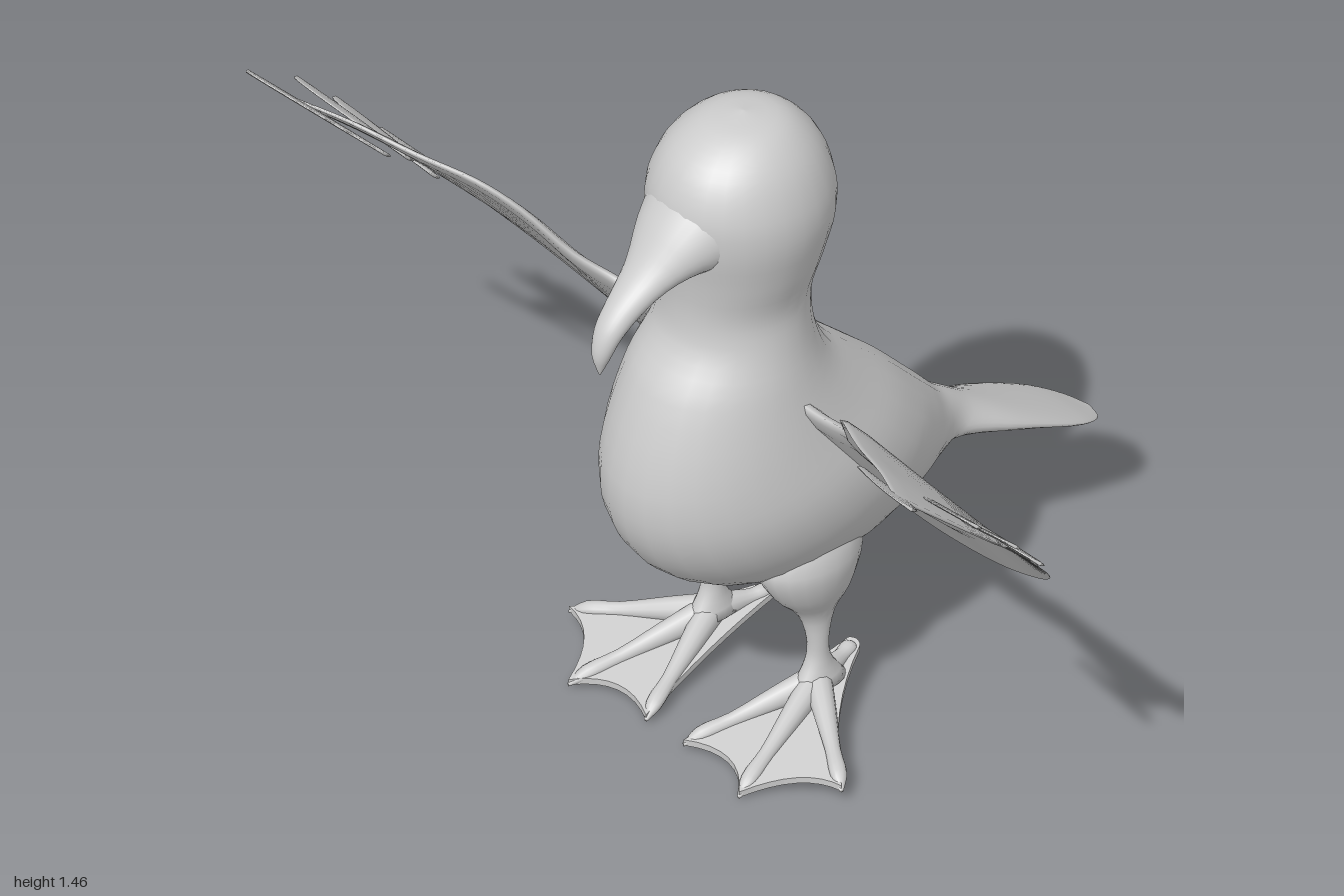
import * as THREE from 'three';

const V = (x, y, z) => new THREE.Vector3(x, y, z);
const plumage = new THREE.MeshStandardMaterial({ color: 0xcccccc });
plumage.name = 'paleGrey';

// Smooth closed skin through rings of points, capped at both ends
function loft(rings, steps = 3) {
  const n = rings[0].length, rows = (rings.length - 1) * steps + 1;
  const curves = rings[0].map((_, j) => new THREE.CatmullRomCurve3(rings.map(r => r[j])));
  const pts = [], idx = [];
  for (let i = 0; i < rows; i++) curves.forEach(c => pts.push(c.getPoint(i / (rows - 1))));
  for (let i = 0; i < rows - 1; i++) {
    for (let j = 0; j < n; j++) {
      const k = (j + 1) % n, a = i * n + j, b = i * n + k;
      idx.push(a, b, a + n, b, b + n, a + n);
    }
  }
  for (const row of [0, rows - 1]) {
    const mid = V(0, 0, 0);
    for (let j = 0; j < n; j++) mid.addScaledVector(pts[row * n + j], 1 / n);
    const m = pts.push(mid) - 1;
    for (let j = 0; j < n; j++) {
      const a = row * n + j, b = row * n + (j + 1) % n;
      row ? idx.push(a, b, m) : idx.push(b, a, m);
    }
  }
  // Turn every face outward, using the sign of the volume
  let vol = 0;
  for (let i = 0; i < idx.length; i += 3) {
    vol += pts[idx[i]].dot(pts[idx[i + 1]].clone().cross(pts[idx[i + 2]]));
  }
  if (vol < 0) idx.reverse();
  const g = new THREE.BufferGeometry().setFromPoints(pts);
  g.setIndex(idx);
  g.computeVertexNormals();
  return g;
}

// Oval ring between two [z, y] profile points, with half width w about x = cx
function oval([z1, y1], [z2, y2], w, cx = 0, n = 28) {
  return Array.from({ length: n }, (_, j) => {
    const a = j / n * Math.PI * 2, c = (1 - Math.cos(a)) / 2;
    return V(cx + w * Math.sin(a), y1 + (y2 - y1) * c, z1 + (z2 - z1) * c);
  });
}

// Ring around a centre, spanned by two half axes
function ring(c, u, v, n = 12) {
  return Array.from({ length: n }, (_, j) => {
    const a = j / n * Math.PI * 2;
    return c.clone().addScaledVector(u, Math.cos(a)).addScaledVector(v, Math.sin(a));
  });
}

function add(parent, name, geometry) {
  const m = new THREE.Mesh(geometry, plumage);
  m.name = name;
  parent.add(m);
}

function wing(s) {
  const g = new THREE.Group();
  // Leading and trailing edge points from root to tip
  const stations = [
    [[.12, .84, .26], [.15, .475, .01]],
    [[.23, .84, .265], [.28, .447, -.008]],
    [[.33, .87, .285], [.40, .455, -.005]],
    [[.40, .925, .34], [.52, .49, .015]],
    [[.47, 1.04, .42], [.66, .565, .06]],
    [[.54, 1.10, .475], [.76, .65, .12]],
    [[.65, 1.14, .54], [.84, .75, .20]],
    [[.78, 1.18, .60], [.88, .82, .26]],
    [[.89, 1.21, .66], [.90, .86, .29]],
  ];
  // Chord position and half thickness: thick arm, thin trailing feathers
  const chord = [[0, .002], [.22, .003], [.3, .011], [.6, .014], [.88, .018], [.97, .012]];
  const normal = V(0, .7, -.71);
  const rings = stations.map(([l, t], i) => {
    const lead = V(l[0] * s, l[1], l[2]), trail = V(t[0] * s, t[1], t[2]);
    const thin = 1 - .75 * i / (stations.length - 1);
    const side = sign => chord.map(([c, h]) =>
      trail.clone().lerp(lead, c).addScaledVector(normal, sign * h * thin));
    return [...side(1), lead, ...side(-1).reverse()];
  });
  add(g, 'wingBlade', loft(rings, 4));

  // Rounded flight feathers at the tip
  const feathers = [
    [[.70, 1.125, .57], [.975, 1.24, .69]],
    [[.74, 1.04, .47], [1, 1.13, .535]],
    [[.74, .96, .40], [1, 1.025, .43]],
    [[.72, .88, .31], [.968, .915, .335]],
  ];
  for (const [a, b] of feathers) {
    const root = V(a[0] * s, a[1], a[2]), tip = V(b[0] * s, b[1], b[2]);
    const across = V(0, .7, .71);
    const shape = [[0, .02], [.4, .048], [.7, .052], [.87, .043], [.96, .025], [1, .002]];
    add(g, 'flightFeather', loft(shape.map(([t, w]) =>
      ring(root.clone().lerp(tip, t), across.clone().multiplyScalar(w),
        normal.clone().multiplyScalar(.004)))));
  }
  return g;
}

const soleY = z => .099 - .195 * z;

function leg(s) {
  const g = new THREE.Group();
  // Thigh and shank in one skin
  add(g, 'thighAndShank', loft([
    oval([.27, .5], [.07, .5], .06, .125 * s, 20),
    oval([.32, .41], [.07, .41], .085, .135 * s, 20),
    oval([.29, .335], [.10, .325], .068, .14 * s, 20),
    oval([.23, .265], [.14, .265], .032, .147 * s, 20),
    oval([.213, .2], [.165, .2], .022, .155 * s, 20),
    oval([.215, .15], [.16, .15], .024, .155 * s, 20),
    oval([.25, .09], [.12, .09], .038, .155 * s, 20),
  ]));

  // Scalloped web, sheared to slope down toward the toes
  const web = new THREE.Shape();
  web.moveTo(.105 * s, .06);
  web.quadraticCurveTo(.12 * s, .045, .14 * s, .06);
  web.quadraticCurveTo(.22 * s, .22, .40 * s, .35);
  web.quadraticCurveTo(.30 * s, .36, .25 * s, .49);
  web.quadraticCurveTo(.17 * s, .40, .055 * s, .46);
  web.quadraticCurveTo(.10 * s, .25, .105 * s, .06);
  const webGeo = new THREE.ExtrudeGeometry(web, { depth: .014, bevelEnabled: false, curveSegments: 8 });
  webGeo.rotateX(Math.PI / 2);
  const p = webGeo.attributes.position;
  for (let i = 0; i < p.count; i++) p.setY(i, p.getY(i) + .016 + soleY(p.getZ(i)));
  webGeo.computeVertexNormals();
  add(g, 'web', webGeo);

  // Three front toes and the heel
  const ends = [[.055, .46], [.25, .49], [.40, .35], [.12, .058]];
  for (const [x, z] of ends) {
    const from = V(.155 * s, 0, .19), to = V(x * s, 0, z);
    const across = to.clone().sub(from).cross(V(0, 1, 0)).normalize();
    const shape = [[0, .03, .034], [.3, .024, .026], [.65, .016, .016], [.88, .017, .014], [1, .004, .004]];
    add(g, 'toe', loft(shape.map(([t, w, h]) => {
      const c = from.clone().lerp(to, t);
      c.y = soleY(c.z) + h;
      return ring(c, across.clone().multiplyScalar(w), V(0, h, 0));
    })));
  }
  return g;
}

export function createModel() {
  const model = new THREE.Group();
  model.name = 'seabird';

  // Head, neck, body and flat tail: front point, back point, half width
  add(model, 'body', loft([
    oval([.25, 1.463], [.245, 1.463], .003),
    oval([.335, 1.447], [.155, 1.445], .085),
    oval([.41, 1.395], [.092, 1.385], .145),
    oval([.448, 1.315], [.06, 1.30], .18),
    oval([.45, 1.24], [.058, 1.23], .186),
    oval([.434, 1.14], [.085, 1.13], .167),
    oval([.428, 1.05], [.11, 1.04], .147),
    oval([.44, .98], [.113, .95], .16),
    oval([.506, .88], [.08, .866], .188),
    oval([.568, .68], [0, .785], .225),
    oval([.556, .548], [-.103, .688], .248),
    oval([.483, .436], [-.175, .61], .238),
    oval([.316, .34], [-.225, .555], .195),
    oval([.1, .318], [-.265, .51], .14),
    oval([-.09, .35], [-.305, .48], .092),
    oval([-.215, .397], [-.35, .447], .072),
    oval([-.42, .343], [-.44, .39], .09),
    oval([-.59, .276], [-.6, .295], .087),
    oval([-.665, .244], [-.668, .25], .05),
    oval([-.688, .236], [-.688, .238], .004),
  ], 4));

  // Hooked beak
  add(model, 'beak', loft([
    oval([.39, 1.38], [.34, 1.14], .13),
    oval([.468, 1.295], [.42, 1.165], .095),
    oval([.53, 1.215], [.49, 1.15], .058),
    oval([.60, 1.15], [.55, 1.115], .04),
    oval([.635, 1.105], [.593, 1.08], .032),
    oval([.65, 1.05], [.615, 1.04], .02),
    oval([.638, 1.003], [.634, 1.003], .003),
  ]));

  for (const [side, s] of [['left', 1], ['right', -1]]) {
    const w = wing(s), l = leg(s);
    w.name = side + 'Wing';
    l.name = side + 'Leg';
    model.add(w, l);
  }
  return model;
}
